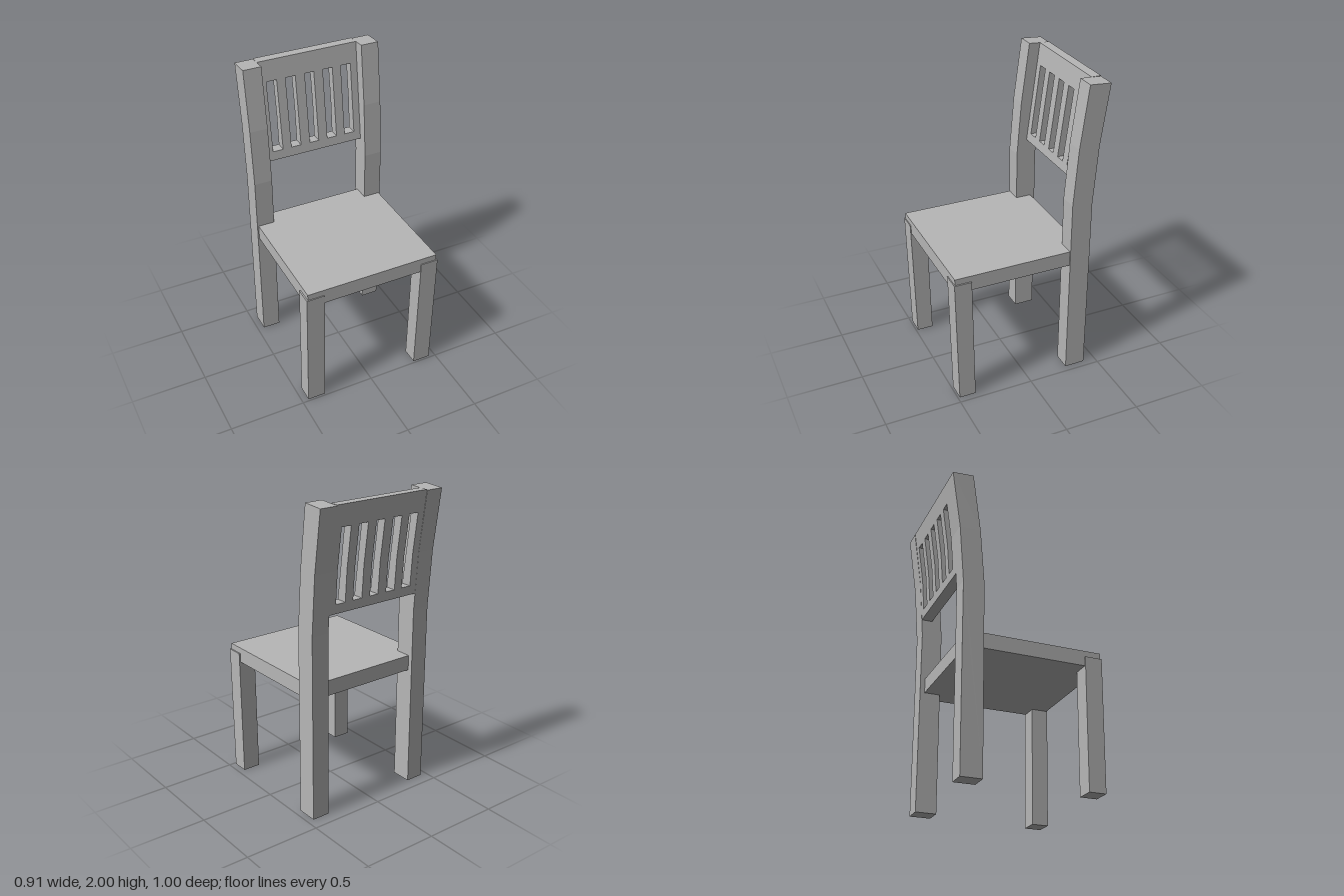
import * as THREE from 'three';

export function createModel() {
  const chair = new THREE.Group();
  chair.name = 'chair';
  const grey = new THREE.MeshStandardMaterial({ color: 0xb6b6b6 });
  grey.name = 'plain grey';

  // Side profile of [z, y] corners, extruded across x0..x1
  function bar(name, profile, x0, x1) {
    const shape = new THREE.Shape(profile.map(([z, y]) => new THREE.Vector2(z, y)));
    const geo = new THREE.ExtrudeGeometry(shape, { depth: x1 - x0, bevelEnabled: false });
    geo.rotateY(-Math.PI / 2).translate(x1, 0, 0);
    const mesh = new THREE.Mesh(geo, grey);
    mesh.name = name;
    chair.add(mesh);
  }

  // Seat slab
  bar('seat', [[0.496, 0.8], [0.496, 0.9], [-0.385, 0.9], [-0.385, 0.8]], -0.447, 0.447);

  // Legs: slightly raked front pair, rear pair bending back into the back posts
  const frontLeg = [[0.487, 0], [0.377, 0], [0.389, 0.86], [0.502, 0.86]];
  const backPost = [
    [-0.28, 0], [-0.28, 1.23], [-0.308, 1.6], [-0.36, 2],
    [-0.499, 1.99], [-0.444, 1.6], [-0.416, 1.22], [-0.416, 0],
  ];
  for (const [side, a, b] of [['right', -0.456, -0.337], ['left', 0.337, 0.456]]) {
    bar(side + 'FrontLeg', frontLeg, a, b);
    bar(side + 'BackPost', backPost, a, b);
  }

  // Leaning back panel: front is straight, rear follows the posts
  const frontZ = (y) => -0.35 - (y - 1.33) * 0.128;
  const backZ = (y) => (y < 1.6 ? -0.415 - (y - 1.22) * 0.074 : -0.443 - (y - 1.6) * 0.136);
  function panelProfile(y0, y1) {
    const ys = y0 < 1.6 && y1 > 1.6 ? [y0, 1.6, y1] : [y0, y1];
    return [
      ...ys.map((y) => [frontZ(y), y]),
      ...ys.slice().reverse().map((y) => [backZ(y), y]),
    ];
  }
  bar('topRail', panelProfile(1.86, 1.995), -0.337, 0.337);
  bar('lowerRail', panelProfile(1.33, 1.39), -0.337, 0.337);

  // Upright slats, with narrow strips beside the posts
  const slats = [[-0.337, -0.288], [-0.219, -0.16], [-0.093, -0.029],
    [0.034, 0.096], [0.163, 0.222], [0.291, 0.337]];
  slats.forEach(([a, b], i) => bar('slat' + (i + 1), panelProfile(1.39, 1.86), a, b));

  return chair;
}
